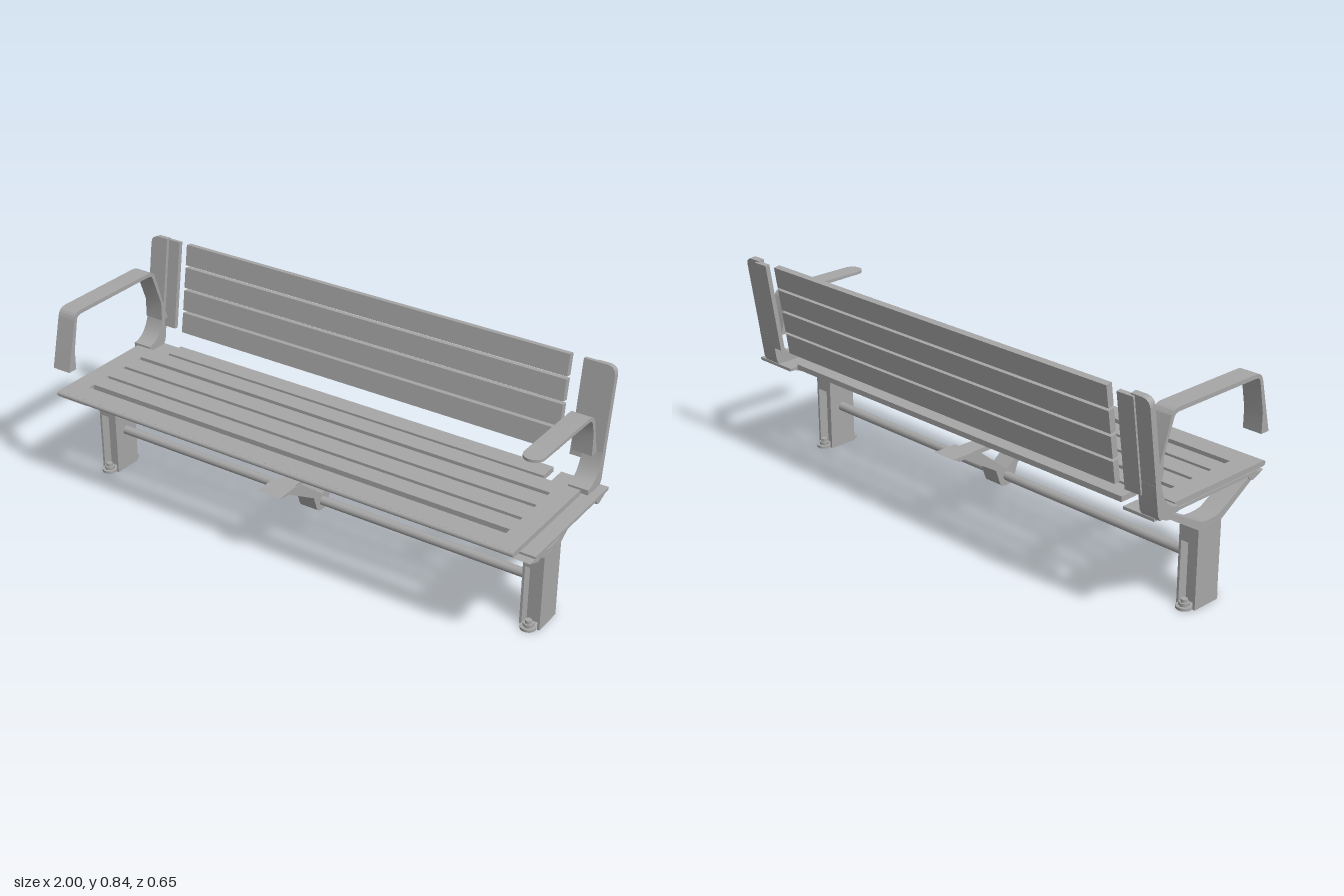
import * as THREE from 'three';
import { toCreasedNormals } from 'three/addons/utils/BufferGeometryUtils.js';

const metal = new THREE.MeshStandardMaterial({ color: 0xa6a6a6 });
metal.name = 'grey metal';

function add(parent, name, geometry) {
  const mesh = new THREE.Mesh(geometry, metal);
  mesh.name = name;
  parent.add(mesh);
  return mesh;
}

// Box given by its limits on each axis
function block(parent, name, [x0, x1], [y0, y1], [z0, z1]) {
  const g = new THREE.BoxGeometry(Math.abs(x1 - x0), y1 - y0, z1 - z0);
  g.translate((x0 + x1) / 2, (y0 + y1) / 2, (z0 + z1) / 2);
  return add(parent, name, g);
}

// Outline from points; a point with four numbers is a curve (control, end)
function outline(points) {
  const s = new THREE.Shape();
  points.forEach((p, i) => {
    if (i === 0) s.moveTo(...p);
    else if (p.length === 4) s.quadraticCurveTo(...p);
    else s.lineTo(...p);
  });
  return s;
}

// Side outline in (z, y), extruded across x
function sidePart(parent, name, points, xCentre, width) {
  const g = new THREE.ExtrudeGeometry(outline(points), { depth: width, bevelEnabled: false, curveSegments: 8 });
  g.rotateY(-Math.PI / 2);
  g.translate(xCentre + width / 2, 0, 0);
  return add(parent, name, toCreasedNormals(g, 0.6));
}

const MID = 0.035; // z of the leg centre line
const flip = (z) => 2 * MID - z;

function addSeat(root) {
  // Slotted panel, drawn in (x, -z) and laid flat
  const panel = outline([[-0.96, -0.308], [0.96, -0.308], [0.96, 0.147], [-0.96, 0.147]]);
  for (const [za, zb] of [[0.2, 0.227], [0.115, 0.13], [0.02, 0.035], [-0.075, -0.056]]) {
    const hole = new THREE.Path();
    hole.moveTo(-0.884, -za).lineTo(-0.884, -zb).lineTo(0.884, -zb).lineTo(0.884, -za).closePath();
    panel.holes.push(hole);
  }
  const g = new THREE.ExtrudeGeometry(panel, { depth: 0.02, bevelEnabled: false });
  g.rotateX(-Math.PI / 2).translate(0, 0.413, 0);
  add(root, 'seatPanel', g);
  const nose = new THREE.CylinderGeometry(0.01, 0.01, 1.92, 16);
  nose.rotateZ(Math.PI / 2).translate(0, 0.423, 0.309);
  add(root, 'seatNose', nose);
  block(root, 'rearSeatSlat', [-0.814, 0.814], [0.413, 0.433], [-0.233, -0.16]);
}

function addBack(root) {
  const back = new THREE.Group();
  back.name = 'backrest';
  back.position.set(0, 0.435, -0.232);
  back.rotation.x = -Math.atan(0.152);
  root.add(back);
  for (let i = 0; i < 4; i++) {
    const y = 0.057 + i * 0.0905;
    block(back, 'backSlat', [-0.814, 0.814], [y, y + 0.08], [-0.027, -0.002]);
  }
  for (const s of [-1, 1]) {
    // Outer upright with a rounded outer corner, and the inner plate behind it
    const shape = outline([[s * 0.909, 0], [s * 0.984, 0], [s * 0.984, 0.375],
      [s * 0.984, 0.41, s * 0.95, 0.41], [s * 0.909, 0.41]]);
    const g = new THREE.ExtrudeGeometry(shape, { depth: 0.024, bevelEnabled: false });
    g.translate(0, 0, -0.024);
    add(back, 'backUpright', g);
    block(back, 'backUprightInnerPlate', [s * 0.859, s * 0.925], [0.057, 0.405], [-0.032, -0.014]);
    // Curved foot joining upright and seat
    sidePart(root, 'backUprightFoot', [[-0.157, 0.415], [-0.157, 0.434], [-0.225, 0.437, -0.247, 0.535],
      [-0.272, 0.535], [-0.256, 0.43], [-0.245, 0.41]], s * 0.9465, 0.075);
  }
}

function addLeg(root, s) {
  const leg = new THREE.Group();
  leg.name = s > 0 ? 'leftLeg' : 'rightLeg';
  leg.position.x = s * 0.924;
  root.add(leg);
  // Forked head
  sidePart(leg, 'legFork', [[0.245, 0.385], [0.093, 0.293], [0.093, 0.235], [flip(0.093), 0.235],
    [flip(0.093), 0.293], [flip(0.245), 0.385], [flip(0.24), 0.404], [flip(0.08), 0.318],
    [MID, 0.309, 0.08, 0.318], [0.24, 0.404]], 0, 0.076);
  // H-section post
  for (const k of [-1, 1]) block(leg, 'legSidePlate', [k * 0.03, k * 0.039], [0, 0.3], [flip(0.093), 0.093]);
  block(leg, 'legWeb', [-0.031, 0.031], [0, 0.24], [MID - 0.02, MID + 0.02]);
  for (const z of [0.1, flip(0.1)]) {
    [[0.029, 0, 0.01], [0.02, 0.01, 0.022], [0.012, 0.022, 0.034]].forEach(([r, y0, y1], i) => {
      const g = new THREE.CylinderGeometry(r, r, y1 - y0, i === 1 ? 6 : 20);
      g.translate(0, (y0 + y1) / 2, z);
      add(leg, ['washer', 'nut', 'boltEnd'][i], g);
    });
  }
  // Seat flange, continuing outward on the left only
  const span = s > 0 ? [-0.088, 0.092] : [-0.04, 0.088];
  block(leg, 'seatFlange', span, [0.402, 0.413], [-0.25, 0.27]);
  for (const f of [(z) => z, flip]) {
    sidePart(leg, 'flangePad', [[f(0.305), 0.405], [f(0.25), 0.383], [f(0.235), 0.388], [f(0.225), 0.405]],
      (span[0] + span[1]) / 2, span[1] - span[0]);
  }
}

function addCentreSupport(root) {
  sidePart(root, 'centreFork', [[0.3, 0.312], [0.25, 0.297], [0.09, 0.2], [0.072, 0.15],
    [0.065, 0.127, MID, 0.127], [0.005, 0.127, flip(0.072), 0.15], [flip(0.09), 0.2], [flip(0.25), 0.297],
    [flip(0.3), 0.312], [flip(0.165), 0.294], [flip(0.09), 0.235], [MID, 0.19], [0.09, 0.235], [0.165, 0.294]],
  0, 0.075);
  block(root, 'centreRail', [-0.036, 0.036], [0.293, 0.31], [flip(0.27), 0.27]);
  // Flared pads on the fork tips
  for (const f of [(z) => z, flip]) {
    sidePart(root, 'centrePad', [[f(0.31), 0.315], [f(0.285), 0.304], [f(0.22), 0.304], [f(0.21), 0.315]], 0, 0.096);
  }
  const bar = new THREE.CylinderGeometry(0.017, 0.017, 1.79, 24);
  bar.rotateZ(Math.PI / 2).translate(0, 0.164, MID);
  add(root, 'crossBar', bar);
}

function addArmrests(root) {
  // Closed loop armrest on the right
  sidePart(root, 'loopArmrest', [[0.325, 0.535], [0.278, 0.725], [0.27, 0.757, 0.24, 0.757], [-0.14, 0.757],
    [-0.172, 0.757, -0.181, 0.735], [-0.245, 0.535], [-0.21, 0.535], [-0.21, 0.61], [-0.167, 0.73],
    [-0.162, 0.742, -0.14, 0.742], [0.237, 0.742], [0.26, 0.742, 0.264, 0.722], [0.287, 0.61], [0.287, 0.535]],
  -0.922, 0.076);
  // Open armrest on the left with a rounded tip
  sidePart(root, 'openArmrest', [[-0.245, 0.535], [-0.215, 0.66], [-0.205, 0.695, -0.17, 0.697], [0.14, 0.698],
    [0.14, 0.688], [-0.165, 0.682], [-0.19, 0.682, -0.198, 0.66], [-0.21, 0.61], [-0.21, 0.535]], 0.924, 0.076);
  const tip = new THREE.CylinderGeometry(0.038, 0.038, 0.01, 24, 1, false, -Math.PI / 2, Math.PI);
  tip.translate(0.924, 0.693, 0.14);
  add(root, 'openArmrestTip', tip);
}

export function createModel() {
  const model = new THREE.Group();
  model.name = 'bench';
  const root = new THREE.Group();
  root.name = 'benchBody';
  root.position.x = -0.016;
  model.add(root);
  addSeat(root);
  addBack(root);
  for (const s of [-1, 1]) addLeg(root, s);
  addCentreSupport(root);
  addArmrests(root);
  return model;
}
